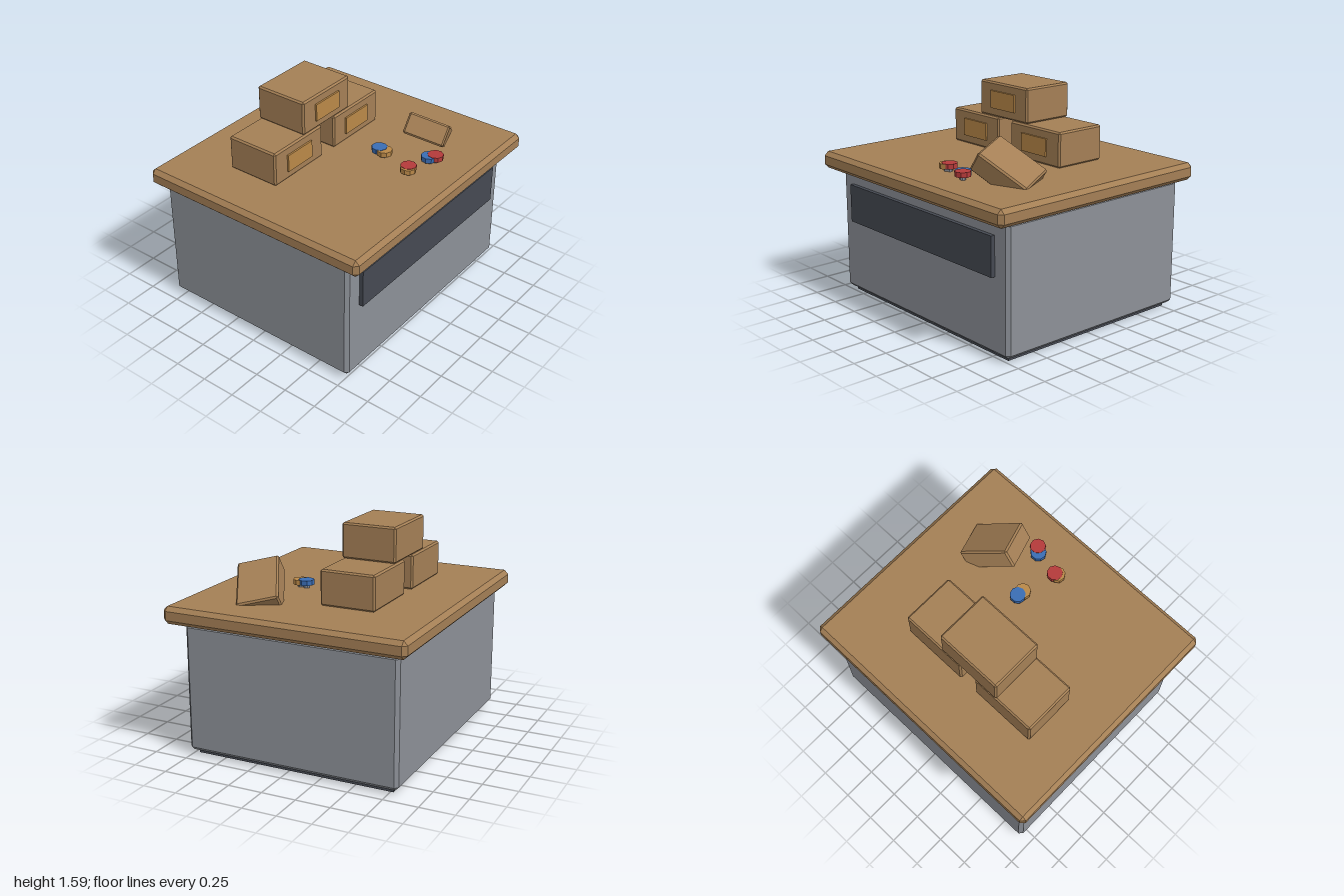
import * as THREE from 'three';
import { ConvexGeometry } from 'three/addons/geometries/ConvexGeometry.js';

const paint = (name, color) => {
  const m = new THREE.MeshStandardMaterial({ color });
  m.name = name;
  return m;
};

// Box with 45 degree cuts on every edge
function chamferBox(w, h, d, c) {
  const pts = [];
  for (const sx of [-1, 1]) for (const sy of [-1, 1]) for (const sz of [-1, 1]) {
    const x = w / 2, y = h / 2, z = d / 2;
    pts.push(
      new THREE.Vector3(sx * x, sy * (y - c), sz * (z - c)),
      new THREE.Vector3(sx * (x - c), sy * y, sz * (z - c)),
      new THREE.Vector3(sx * (x - c), sy * (y - c), sz * z)
    );
  }
  return new ConvexGeometry(pts);
}

export function createModel() {
  const root = new THREE.Group();
  root.name = 'packingCounter';

  const grey = paint('cabinet grey', 0x8c9097);
  const dark = paint('dark slate', 0x454952);
  const wood = paint('wood', 0xa47f55);
  const tan = paint('light tan', 0xb98848);
  const red = paint('red', 0xb43a3a);
  const blue = paint('blue', 0x3a6db4);
  const steel = paint('steel', 0x858a93);

  const add = (parent, name, geometry, material, x, y, z) => {
    const mesh = new THREE.Mesh(geometry, material);
    mesh.name = name;
    mesh.position.set(x, y, z);
    parent.add(mesh);
    return mesh;
  };

  // Counter body
  add(root, 'plinth', new THREE.BoxGeometry(1.74, 0.06, 1.49), dark, 0, 0.03, -0.025);
  add(root, 'cabinet', chamferBox(1.845, 0.925, 1.59, 0.025), grey, 0, 0.4925, -0.025);
  add(root, 'frontPanel', new THREE.BoxGeometry(1.59, 0.28, 0.04), dark, 0, 0.71, 0.78);
  add(root, 'counterTop', chamferBox(2, 0.125, 1.795, 0.03), wood, 0, 1.0175, 0);

  // Stacked cartons with a label on the front
  const cartonGeo = chamferBox(0.508, 0.253, 0.405, 0.012);
  const labelGeo = new THREE.BoxGeometry(0.253, 0.128, 0.015);
  for (const [x, y] of [[-0.387, 1.207], [0.255, 1.207], [-0.08, 1.463]]) {
    const carton = new THREE.Group();
    carton.name = 'carton';
    carton.position.set(x, y, -0.258);
    add(carton, 'cartonBody', cartonGeo, wood, 0, 0, 0);
    add(carton, 'cartonLabel', labelGeo, tan, 0, 0, 0.208);
    root.add(carton);
  }

  // Tipped carton, partly sunk into the counter
  const tipped = add(root, 'tippedCarton', chamferBox(0.405, 0.158, 0.3, 0.012), wood, 0.51, 1.156, 0.405);
  tipped.rotation.set(0, 0.41, -0.61, 'ZYX');

  // Overlapping pairs of studs, each a disc on a short stem
  const discGeo = new THREE.CylinderGeometry(0.057, 0.057, 0.036, 9).toNonIndexed();
  const stemGeo = new THREE.CylinderGeometry(0.022, 0.022, 0.03, 8).toNonIndexed();
  discGeo.computeVertexNormals();
  stemGeo.computeVertexNormals();
  const studs = [
    [0.042, 0.555, tan, 0], [0.06, 0.547, red, 0.003],
    [0.13, 0.292, tan, 0], [0.136, 0.245, blue, 0.003],
    [0.255, 0.585, blue, 0], [0.29, 0.617, red, 0.003]
  ];
  for (const [x, z, material, lift] of studs) {
    const stud = new THREE.Group();
    stud.name = 'stud';
    stud.position.set(x, 1.08 + lift, z);
    add(stud, 'studDisc', discGeo, material, 0, 0.04, 0);
    add(stud, 'studStem', stemGeo, steel, 0, 0.01, 0);
    root.add(stud);
  }

  return root;
}
